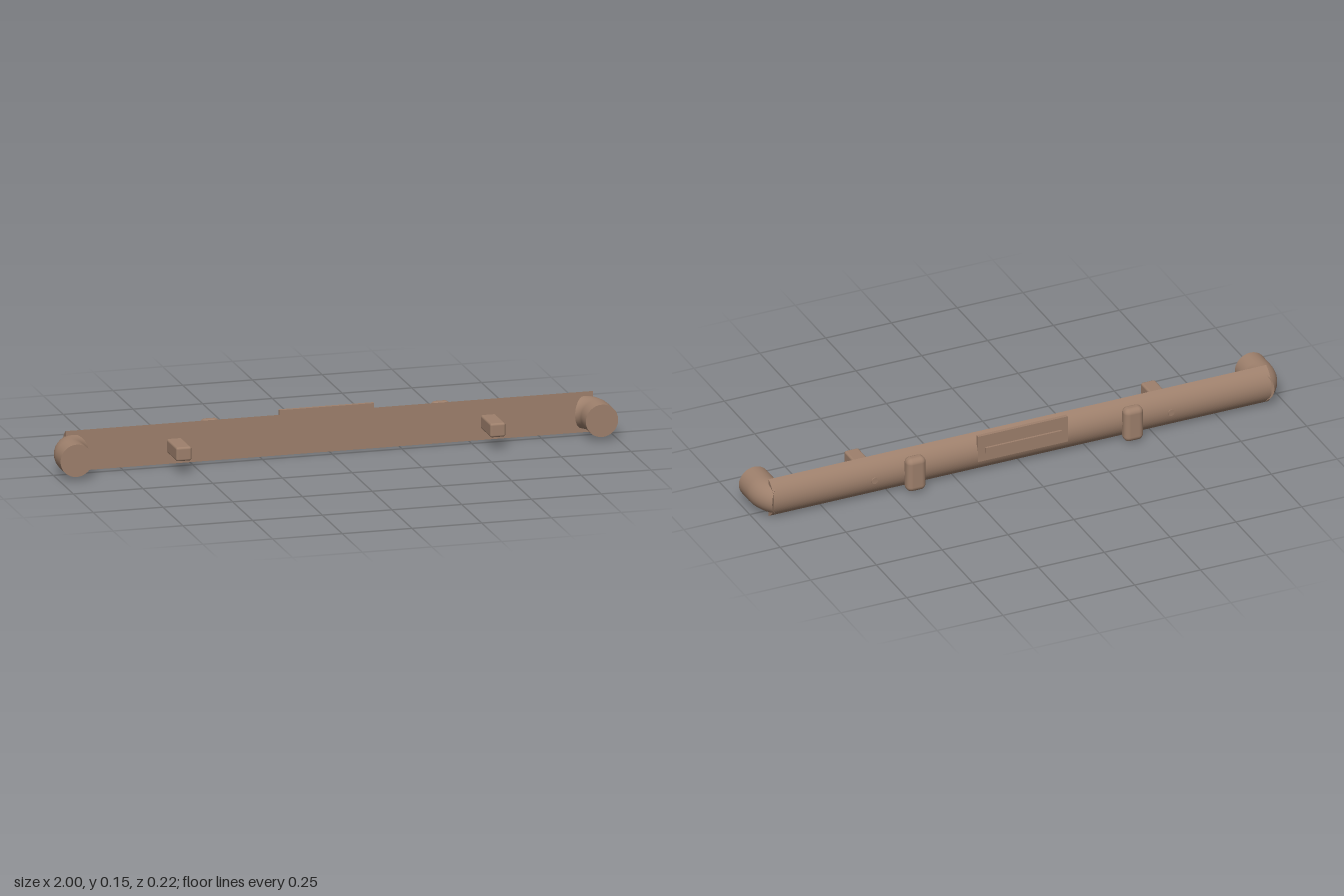
import * as THREE from 'three';
import { RoundedBoxGeometry } from 'three/addons/geometries/RoundedBoxGeometry.js';

export function createModel() {
  const model = new THREE.Group();
  model.name = 'bumper';
  const brown = new THREE.MeshStandardMaterial({ color: 0x9e806c });
  brown.name = 'brown';

  const add = (name, geometry, x, y, z, parent = model) => {
    const mesh = new THREE.Mesh(geometry, brown);
    mesh.name = name;
    mesh.position.set(x, y, z);
    parent.add(mesh);
    return mesh;
  };

  // Main beam: a D-shaped section, flat at the front and rounded at the back
  const half = 0.0725, depth = 0.046, length = 1.89;
  const radius = (half * half + depth * depth) / (2 * depth);
  const angle = Math.asin(half / radius);
  const section = new THREE.Shape();
  section.absarc(depth - radius, 0, radius, -angle, angle, false);
  section.closePath();
  const beamGeometry = new THREE.ExtrudeGeometry(section, {
    depth: length, bevelEnabled: false, curveSegments: 24,
  });
  beamGeometry.translate(0, 0, -length / 2);
  beamGeometry.rotateY(Math.PI / 2);
  add('beam', beamGeometry, 0, half + 0.0005, -0.035);

  // Angled pipe at each end; the left one turned half round makes the right one
  const pipeRadius = 0.058, bend = 0.1, bendStart = 0.027, pipeFront = 0.09;
  const straight = new THREE.CylinderGeometry(pipeRadius, pipeRadius, pipeFront - bendStart, 32);
  straight.rotateX(Math.PI / 2);
  const elbow = new THREE.TorusGeometry(bend, pipeRadius, 32, 6, Math.PI / 4);
  elbow.rotateX(-Math.PI / 2);
  for (const side of [1, -1]) {
    const pipe = new THREE.Group();
    pipe.name = side > 0 ? 'leftEndPipe' : 'rightEndPipe';
    pipe.position.y = 0.072;
    pipe.rotation.z = side > 0 ? 0 : Math.PI;
    model.add(pipe);
    add('straightPipe', straight, 0.942, 0, (pipeFront + bendStart) / 2, pipe);
    add('elbow', elbow, 0.942 - bend, 0, bendStart, pipe);
    const c = bend * Math.SQRT1_2;
    const cap = add('elbowCap', new THREE.CircleGeometry(pipeRadius, 32),
      0.942 - bend + c, 0, bendStart - c, pipe);
    cap.rotation.y = Math.PI * 1.25;
  }

  // Mounting blocks, bolts and rear pads in mirrored pairs
  const block = new RoundedBoxGeometry(0.055, 0.05, 0.127, 3, 0.008);
  const bolt = new THREE.CylinderGeometry(0.012, 0.012, 0.02, 16);
  bolt.rotateX(Math.PI / 2);
  const pad = new RoundedBoxGeometry(0.072, 0.129, 0.047, 4, 0.02);
  for (const side of [1, -1]) {
    const label = side > 0 ? 'left' : 'right';
    add(label + 'MountingBlock', block, side * 0.563, 0.0725, 0.0495);
    add(label + 'Bolt', bolt, side * 0.563, 0.072, -0.074);
    add(label + 'Pad', pad, side * 0.413, 0.0715, -0.0885);
  }

  // Centre plate with a raised strip
  add('centrePlate', new THREE.BoxGeometry(0.34, 0.1, 0.013), 0, 0.102, -0.0755);
  add('plateStrip', new THREE.BoxGeometry(0.29, 0.02, 0.01), 0, 0.095, -0.085);

  return model;
}
